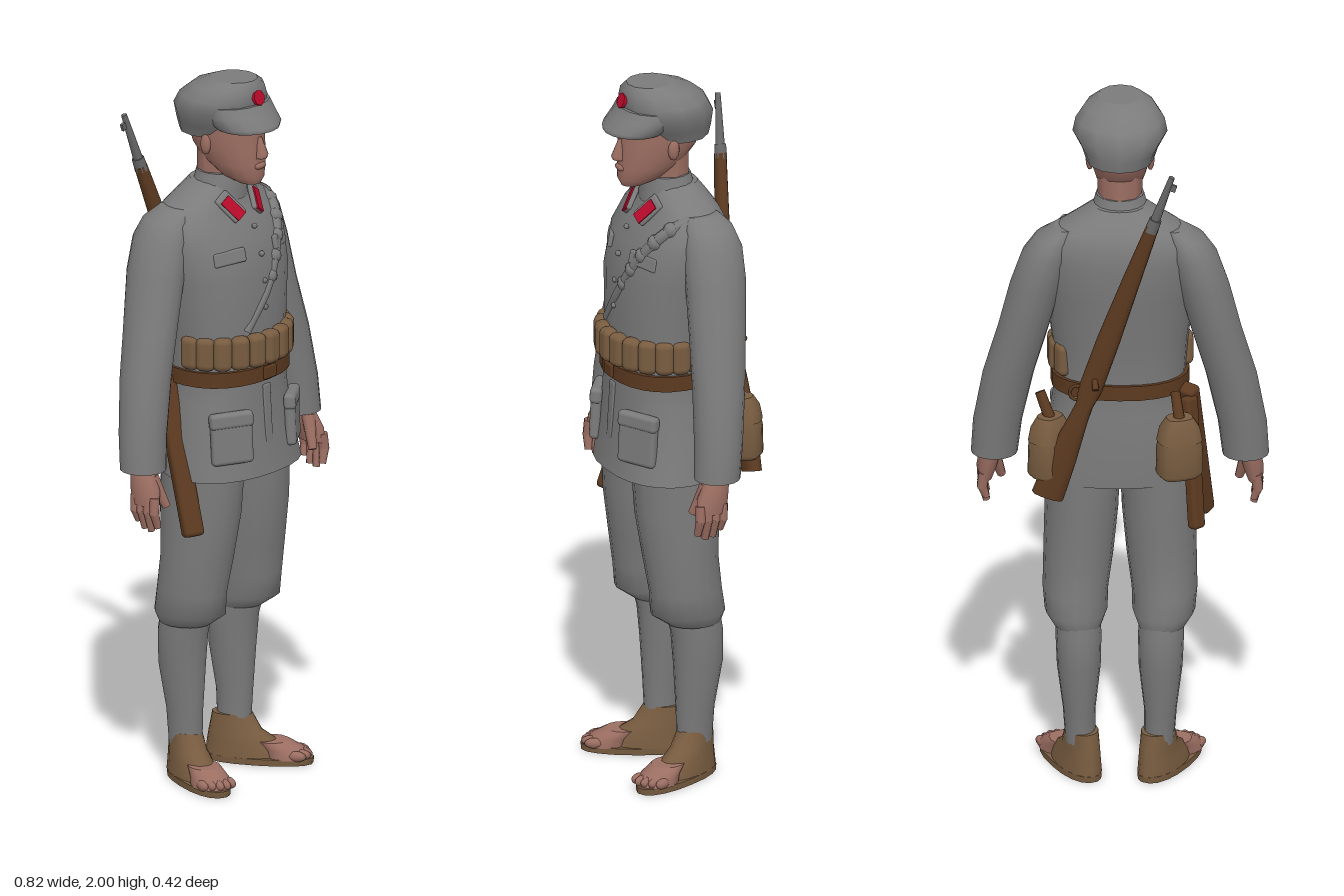
import * as THREE from 'three';
import { RoundedBoxGeometry } from 'three/addons/geometries/RoundedBoxGeometry.js';

const mat = (name, color) => {
  const m = new THREE.MeshStandardMaterial({ color });
  m.name = name;
  return m;
};
const V = (a) => new THREE.Vector3(...a);

// Closed skin through horizontal rings [x, y, z, radiusX, radiusZ], listed bottom to top.
function loft(rings, n = 16, p = 1) {
  const pos = [], idx = [];
  const addRing = ([cx, y, cz, rx, rz]) => {
    for (let j = 0; j < n; j++) {
      const t = (j / n) * Math.PI * 2, c = Math.cos(t), s = Math.sin(t);
      pos.push(cx + rx * Math.sign(c) * Math.abs(c) ** p, y, cz + rz * Math.sign(s) * Math.abs(s) ** p);
    }
  };
  rings.forEach(addRing);
  for (let i = 0; i < rings.length - 1; i++) for (let j = 0; j < n; j++) {
    const a = i * n + j, b = i * n + (j + 1) % n, c = a + n, d = b + n;
    idx.push(a, c, b, b, c, d);
  }
  for (const [r, top] of [[rings[0], false], [rings[rings.length - 1], true]]) {
    const start = pos.length / 3;
    addRing(r);
    pos.push(r[0], r[1], r[2]);
    for (let j = 0; j < n; j++) {
      const a = start + j, b = start + (j + 1) % n;
      idx.push(start + n, top ? b : a, top ? a : b);
    }
  }
  const g = new THREE.BufferGeometry();
  g.setAttribute('position', new THREE.Float32BufferAttribute(pos, 3));
  g.setIndex(idx);
  g.computeVertexNormals();
  return g;
}

export function createModel() {
  const cloth = mat('greyCloth', 0x7b7b7b), skin = mat('skin', 0x9c6e62), tan = mat('tanCanvas', 0x785c40),
    brown = mat('brownLeather', 0x5c3a20), red = mat('red', 0xb80a2a), metal = mat('gunMetal', 0x686868);
  const root = new THREE.Group();
  root.name = 'soldier';

  const add = (name, geo, m, p = [0, 0, 0], r = [0, 0, 0], parent = root) => {
    const mesh = new THREE.Mesh(geo, m);
    mesh.name = name;
    mesh.position.set(...p);
    mesh.rotation.set(...r);
    parent.add(mesh);
    return mesh;
  };
  const box = (w, h, d, r = 0.012) => new RoundedBoxGeometry(w, h, d, 2, Math.min(r, w / 2, h / 2, d / 2));
  const UP = new THREE.Vector3(0, 1, 0);
  // Place a y-aligned geometry so that it runs from a to b.
  const between = (name, make, m, a, b, parent = root) => {
    const A = V(a), B = V(b), d = B.clone().sub(A), len = d.length();
    const mesh = add(name, make(len), m, A.clone().add(B).multiplyScalar(0.5).toArray(), [0, 0, 0], parent);
    mesh.quaternion.setFromUnitVectors(UP, d.normalize());
  };
  const rod = (name, m, a, b, r0, r1, parent) =>
    between(name, (l) => new THREE.CylinderGeometry(r1, r0, l, 8), m, a, b, parent);
  const flip = (rings, s) => rings.map(([x, ...rest]) => [x * s, ...rest]);

  // Jacket with sloping shoulders
  add('jacket', loft([
    [0.008, 0.89, 0.055, 0.224, 0.153], [0, 1.0, 0.045, 0.206, 0.146], [0, 1.1, 0.045, 0.188, 0.138],
    [0, 1.17, 0.045, 0.178, 0.134], [0, 1.3, 0.04, 0.188, 0.138], [0, 1.45, 0.027, 0.208, 0.148],
    [0, 1.55, 0.01, 0.222, 0.138], [0, 1.61, -0.006, 0.212, 0.116], [0, 1.645, -0.006, 0.172, 0.1],
    [0, 1.675, 0.0, 0.12, 0.086], [0, 1.705, 0.006, 0.072, 0.07]], 24, 0.88), cloth);
  add('collar', loft([[0, 1.655, 0.012, 0.09, 0.084], [0, 1.7, 0.02, 0.074, 0.074], [0, 1.73, 0.022, 0.066, 0.068]]), cloth);
  for (let i = 0; i < 4; i++)
    add('button', new THREE.SphereGeometry(0.008, 8, 6), cloth, [0, 1.36 + i * 0.075, [0.178, 0.175, 0.165, 0.14][i]]);
  add('jacketPlacket', box(0.03, 0.24, 0.01, 0.004), cloth, [0, 1.02, 0.187], [-0.06, 0, 0]);

  // Shoulder bandolier in the same cloth
  const sling = new THREE.CatmullRomCurve3([[0.155, 1.635, 0.02], [0.145, 1.605, 0.085], [0.09, 1.52, 0.14],
    [0.02, 1.41, 0.164], [-0.07, 1.3, 0.16]].map(V));
  add('bandolier', new THREE.TubeGeometry(sling, 20, 0.018, 8), cloth);
  for (let i = 1; i < 6; i++)
    add('bandolierBulge', new THREE.SphereGeometry(0.023, 8, 6), cloth, sling.getPointAt(i / 8).toArray());

  for (const s of [1, -1]) {
    const side = s > 0 ? 'left' : 'right';
    // Pockets and collar
    add(side + 'HipPocket', box(0.12, 0.13, 0.03), cloth, [0.135 * s, 1.005, 0.166], [-0.05, 0.55 * s, 0]);
    add(side + 'HipPocketFlap', box(0.126, 0.045, 0.034), cloth, [0.135 * s, 1.065, 0.164], [-0.05, 0.55 * s, 0]);
    add(side + 'BreastPocketFlap', box(0.1, 0.04, 0.014, 0.006), cloth, [0.11 * s, 1.52, 0.138], [-0.2, 0.42 * s, 0]);
    add(side + 'CollarFlap', box(0.05, 0.085, 0.014, 0.006), cloth, [0.054 * s, 1.645, 0.098], [-0.5, 0.4 * s, -0.45 * s]);
    add(side + 'CollarTab', new THREE.BoxGeometry(0.033, 0.068, 0.008), red, [0.054 * s, 1.642, 0.108], [-0.5, 0.4 * s, -0.45 * s]);

    // Sleeve, wide towards the cuff
    add(side + 'Sleeve', loft(flip([
      [0.344, 0.95, 0.022, 0.064, 0.064], [0.335, 1.05, 0.014, 0.067, 0.067], [0.305, 1.2, 0.0, 0.07, 0.073],
      [0.262, 1.35, -0.015, 0.07, 0.08], [0.228, 1.48, -0.025, 0.072, 0.086], [0.2, 1.57, -0.028, 0.069, 0.084],
      [0.178, 1.62, -0.026, 0.055, 0.07], [0.15, 1.648, -0.02, 0.03, 0.05]], s)), cloth);

    // Hand
    const hand = new THREE.Group();
    hand.name = side + 'Hand';
    root.add(hand);
    add('palm', loft(flip([[0.37, 0.86, 0.052, 0.021, 0.044], [0.364, 0.9, 0.045, 0.029, 0.046],
      [0.357, 0.94, 0.032, 0.03, 0.038], [0.35, 0.97, 0.025, 0.03, 0.034]], s), 12), skin, undefined, undefined, hand);
    for (let i = 0; i < 4; i++) {
      const z = 0.018 + i * 0.022, low = [0.81, 0.792, 0.787, 0.8][i];
      rod('finger', skin, [0.372 * s, 0.885, z], [0.378 * s, 0.838, z + 0.003], 0.015, 0.014, hand);
      rod('fingertip', skin, [0.378 * s, 0.845, z + 0.003], [0.366 * s, low, z + 0.006], 0.014, 0.01, hand);
    }
    rod('thumb', skin, [0.348 * s, 0.935, 0.055], [0.325 * s, 0.85, 0.088], 0.02, 0.012, hand);

    // Breeches and wrapped shin
    add(side + 'Breeches', loft(flip([
      [0.115, 0.45, -0.01, 0.066, 0.076], [0.12, 0.485, 0.01, 0.086, 0.106], [0.122, 0.55, 0.018, 0.09, 0.102],
      [0.114, 0.65, 0.03, 0.096, 0.106], [0.106, 0.78, 0.036, 0.101, 0.12], [0.1, 0.93, 0.04, 0.102, 0.125]], s)), cloth);
    add(side + 'ShinWrap', loft(flip([
      [0.108, 0.1, -0.015, 0.041, 0.05], [0.111, 0.2, -0.016, 0.045, 0.055], [0.112, 0.33, -0.024, 0.06, 0.07],
      [0.113, 0.42, -0.02, 0.063, 0.074], [0.114, 0.49, -0.005, 0.06, 0.078]], s)), cloth);

    // Sandal with bare forefoot
    const foot = new THREE.Group();
    foot.name = side + 'Foot';
    foot.position.set(0.1 * s, 0, -0.022);
    foot.rotation.y = 0.45 * s;
    root.add(foot);
    add('sole', loft([[0, 0, 0.082, 0.057, 0.15], [0, 0.018, 0.082, 0.058, 0.152]], 18, 0.88), tan, undefined, undefined, foot);
    add('sandalUpper', loft([[0, 0.016, 0.045, 0.056, 0.115], [0, 0.055, 0.037, 0.052, 0.102], [0, 0.085, 0.015, 0.047, 0.075],
      [0.003 * s, 0.135, 0.004, 0.044, 0.055]], 16), tan, undefined, undefined, foot);
    add('forefoot', loft([[0, 0.016, 0.16, 0.054, 0.064], [0, 0.04, 0.15, 0.052, 0.06], [0, 0.062, 0.115, 0.044, 0.05]], 14),
      skin, undefined, undefined, foot);
    for (let i = 0; i < 5; i++)
      add('toe', new THREE.SphereGeometry(0.0135, 8, 6).scale(1, 1.1, 2), skin,
        [(i - 2) * 0.02 * s, 0.028, 0.208 - Math.abs(i - 1.5) * 0.009], undefined, foot);

    // Haversack on each hip, the left one turned to hang beside the rifle butt
    const bag = new THREE.Group();
    bag.name = side + 'Haversack';
    bag.position.set(...(s > 0 ? [0.19, 1.03, -0.115] : [-0.165, 1.03, -0.12]));
    bag.rotation.y = s > 0 ? 0.9 : 0.35;
    root.add(bag);
    add('bagBody', loft([[0, -0.09, 0, 0.05, 0.034], [0, -0.075, 0, 0.064, 0.047], [0, 0, 0, 0.062, 0.048],
      [0, 0.06, 0, 0.052, 0.04], [0, 0.085, 0, 0.034, 0.027]], 16, 0.7), tan, undefined, undefined, bag);
    add('bagFlap', loft([[0, 0.02, 0, 0.062, 0.048], [0, 0.06, 0, 0.054, 0.042], [0, 0.088, 0, 0.036, 0.029]], 16, 0.7),
      tan, undefined, undefined, bag);
    rod('bagStrap', brown, [0, 0.08, 0], [0, 0.15, 0.035], 0.016, 0.014, bag);

    add(side + 'Ear', new THREE.SphereGeometry(0.025, 8, 6).scale(0.45, 1.2, 0.7), skin, [0.083 * s, 1.82, 0.035]);
  }

  // Belt and cartridge pouches
  add('belt', loft([[0, 1.155, 0.045, 0.19, 0.146], [0, 1.198, 0.045, 0.19, 0.146]], 24, 0.88), brown);
  add('beltBuckle', box(0.05, 0.036, 0.01, 0.004), brown, [0, 1.177, 0.193]);
  for (let i = -5; i <= 7; i++) {
    const t = i * 0.3;
    add('cartridgePouch', box(0.053, 0.095, 0.045, 0.018), tan,
      [0.178 * Math.sin(t), 1.25, 0.047 + 0.146 * Math.cos(t)], [0, t, 0]);
  }

  // Neck and head
  rod('neck', skin, [0, 1.64, 0.015], [0, 1.84, 0.018], 0.06, 0.062);
  add('head', loft([
    [0, 1.708, 0.12, 0.026, 0.034], [0, 1.728, 0.098, 0.05, 0.066], [0, 1.765, 0.07, 0.069, 0.094],
    [0, 1.81, 0.05, 0.08, 0.112], [0, 1.85, 0.042, 0.085, 0.118], [0, 1.92, 0.04, 0.086, 0.118]]), skin);
  add('nose', loft([[0, 1.785, 0.16, 0.017, 0.02], [0, 1.797, 0.164, 0.016, 0.022], [0, 1.845, 0.15, 0.009, 0.014]], 8), skin);
  add('lips', new THREE.SphereGeometry(0.02, 8, 6).scale(1.2, 0.5, 0.5), skin, [0, 1.762, 0.16]);

  // Soft cap, lower at the back, with a sloping brim
  add('cap', loft([
    [0, 1.838, -0.004, 0.092, 0.094], [0, 1.87, 0.008, 0.104, 0.114], [0, 1.915, 0.02, 0.13, 0.128],
    [0, 1.95, 0.032, 0.122, 0.121], [0, 1.98, 0.05, 0.098, 0.1], [0, 2.0, 0.07, 0.062, 0.066]], 12), cloth);
  add('capBrim', loft([[0, 1.868, 0.118, 0.092, 0.084], [0, 1.88, 0.112, 0.104, 0.09], [0, 1.91, 0.085, 0.112, 0.088],
    [0, 1.935, 0.07, 0.11, 0.088]], 16), cloth);
  add('capBadge', new THREE.CylinderGeometry(0.022, 0.022, 0.009, 8), red, [0, 1.955, 0.153], [1.25, 0, 0]);

  // Rifle slung across the back, built along its own y axis and following the curve of the back
  const rifle = new THREE.Group();
  rifle.name = 'rifle';
  const butt = V([0.188, 0.89, -0.148]), muzzle = V([-0.148, 1.88, -0.2]);
  rifle.position.copy(butt);
  rifle.quaternion.setFromUnitVectors(UP, muzzle.clone().sub(butt).normalize());
  root.add(rifle);
  add('stock', loft([
    [0.008, 0, 0, 0.045, 0.022], [0.008, 0.12, 0.002, 0.041, 0.022], [0.003, 0.24, 0.008, 0.028, 0.02],
    [0, 0.29, 0.012, 0.024, 0.019], [0, 0.34, 0.015, 0.033, 0.022], [0, 0.5, 0.024, 0.032, 0.022],
    [0, 0.7, 0.02, 0.025, 0.019], [0, 0.875, 0.008, 0.018, 0.016]], 10, 0.8), brown, undefined, undefined, rifle);
  rod('barrel', metal, [0, 0.86, 0.008], [0, 1.04, 0], 0.015, 0.008, rifle);
  rod('barrelBand', metal, [0, 0.86, 0.008], [0, 0.9, 0.006], 0.019, 0.017, rifle);
  add('frontSight', new THREE.BoxGeometry(0.02, 0.02, 0.008), metal, [-0.012, 1.01, 0], undefined, rifle);
  rod('boltHandle', brown, [0, 0.38, 0], [-0.01, 0.36, -0.02], 0.008, 0.01, rifle);
  add('triggerGuard', new THREE.TorusGeometry(0.022, 0.005, 6, 12), brown, [0.03, 0.32, 0.013], undefined, rifle);

  // Pair of leather sheaths hanging from the right hip
  between('frontSheath', (l) => box(0.058, l, 0.045), brown, [-0.185, 1.17, -0.03], [-0.226, 0.742, 0.105]);
  between('rearSheath', (l) => box(0.045, l, 0.035), brown, [-0.19, 1.15, -0.05], [-0.212, 0.775, -0.1]);
  return root;
}
